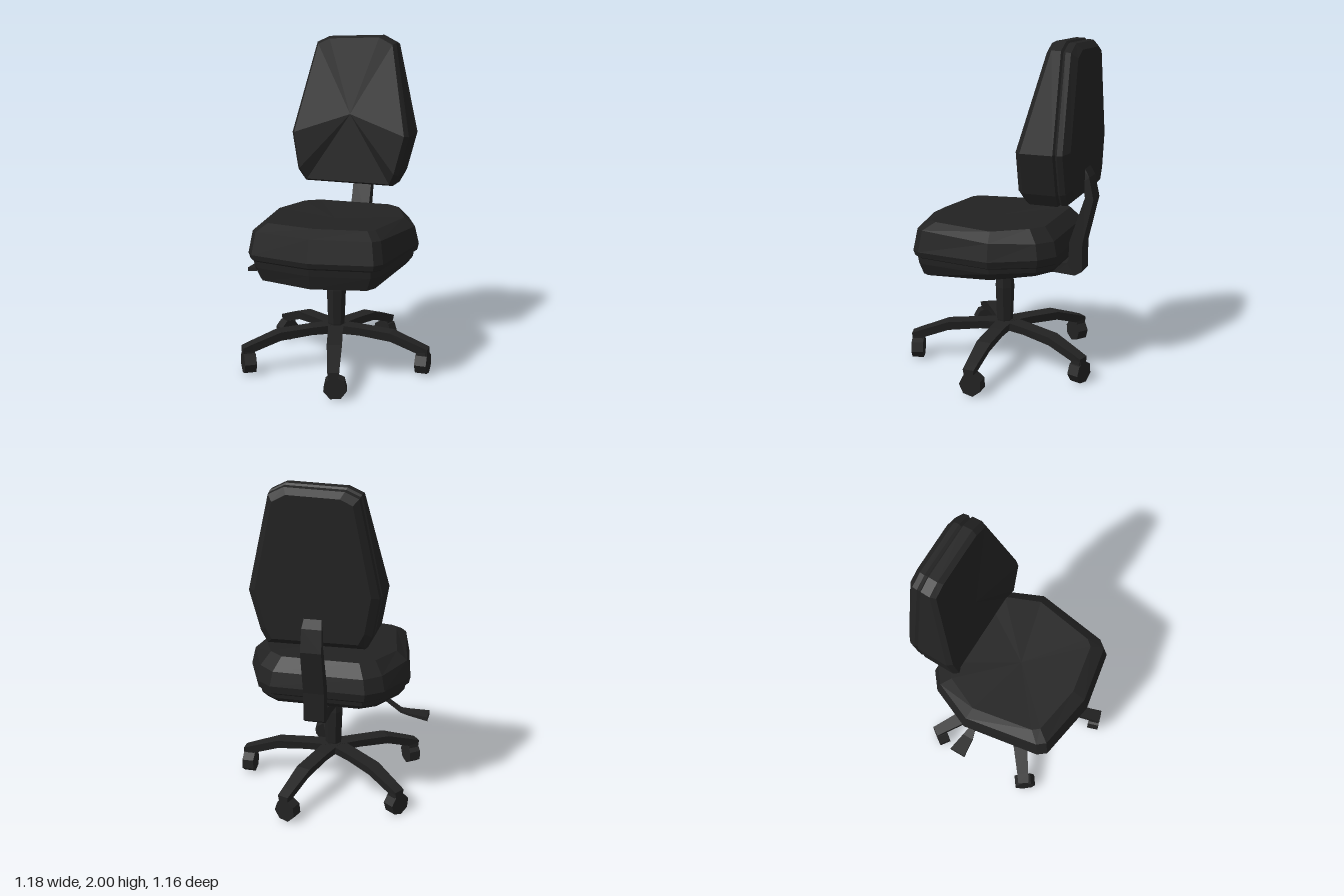
import * as THREE from 'three';

const plastic = new THREE.MeshStandardMaterial({ color: 0x222222, flatShading: true });
plastic.name = 'charcoal';

const v = (x, y, z) => new THREE.Vector3(x, y, z);

// Skin a closed solid over equal-sized rings; caps are fans around each end's centre.
function loft(name, rings, capDip = 0) {
  const tris = [];
  const n = rings[0].length;
  for (let r = 0; r < rings.length - 1; r++) {
    for (let i = 0; i < n; i++) {
      const j = (i + 1) % n;
      const [a, b, c, d] = [rings[r][i], rings[r][j], rings[r + 1][j], rings[r + 1][i]];
      tris.push([a, b, c], [a, c, d]);
    }
  }
  const cap = (ring, flip, dip) => {
    const m = ring.reduce((s, p) => s.add(p), v(0, 0, 0)).divideScalar(n);
    m.y -= dip;
    ring.forEach((p, i) => {
      const q = ring[(i + 1) % n];
      tris.push(flip ? [m, q, p] : [m, p, q]);
    });
  };
  cap(rings[0], true, 0);
  cap(rings[rings.length - 1], false, capDip);
  // Turn the faces outward if the rings ran the other way round
  const volume = tris.reduce((s, [a, b, c]) => s + a.dot(b.clone().cross(c)), 0);
  if (volume < 0) tris.forEach((t) => t.reverse());
  const geo = new THREE.BufferGeometry().setFromPoints(tris.flat());
  geo.computeVertexNormals();
  const mesh = new THREE.Mesh(geo, plastic);
  mesh.name = name;
  return mesh;
}

// Mirror a half outline that starts on the centre line and ends on the far side
const mirror = (half) => [...half, ...half.slice(1).reverse().map(([x, y]) => [-x, y])];

function seat() {
  const outline = mirror([[0, 0.505], [0.37, 0.44], [0.41, 0.39], [0.49, -0.08], [0.38, -0.34], [0.28, -0.42]]);
  const slope = (z, front, back) => front + (back - front) * (0.5 - z) / 0.92;
  // x scale, z scale, height at front, height at back
  const layers = [
    [0.86, 0.91, 0.605, 0.695], [0.93, 0.95, 0.685, 0.72], [0.94, 0.96, 0.725, 0.745],
    [0.98, 0.985, 0.735, 0.755], [1, 1, 0.765, 0.80], [0.95, 0.95, 0.90, 0.885],
  ];
  const rings = layers.map(([sx, sz, f, b]) => outline.map(([x, z]) => v(x * sx + 0.007, slope(z, f, b), z * sz)));
  rings.push(outline.map(([x, z]) => v(x * 0.82 + 0.007, z < -0.2 ? 0.957 : 0.943, z * 0.79)));
  return loft('seatCushion', rings, 0.02);
}

function backrest() {
  const outline = [
    [-0.29, 1.095], [-0.33, 1.17], [-0.37, 1.40], [-0.25, 1.955], [-0.17, 1.99],
    [0.17, 2.0], [0.26, 1.955], [0.385, 1.40], [0.32, 1.16], [0.28, 1.09],
  ];
  const face = (y) => (y < 1.15 ? -0.225 : y < 1.3 ? -0.195 : y < 1.6 ? -0.2 : -0.335);
  // x scale, y scale about mid-height, depth
  const layers = [
    [0.94, 0.97, face], [1, 1, (y) => face(y) - 0.03], [0.99, 1, () => -0.42],
    [0.955, 0.97, () => -0.43], [0.985, 0.985, () => -0.445], [0.97, 0.975, () => -0.475], [0.86, 0.90, () => -0.508],
  ];
  return loft('backrest', layers.map(([sx, sy, z]) =>
    outline.map(([x, y]) => v(x * sx, 1.545 + (y - 1.545) * sy, z(y)))));
}

// Bent bar: sections pair an outer and an inner (z, y) point with a half width
function spine() {
  const path = [
    [-0.10, 0.645, -0.10, 0.69, 0.10], [-0.34, 0.63, -0.34, 0.69, 0.065], [-0.46, 0.622, -0.41, 0.695, 0.06],
    [-0.502, 0.65, -0.42, 0.72, 0.06], [-0.502, 0.82, -0.42, 0.82, 0.06],
    [-0.563, 1.09, -0.512, 1.10, 0.06], [-0.535, 1.22, -0.495, 1.19, 0.058], [-0.508, 1.27, -0.49, 1.27, 0.05],
  ];
  return loft('backSupport', path.map(([z1, y1, z2, y2, w]) =>
    [v(-w, y1, z1), v(w, y1, z1), v(w, y2, z2), v(-w, y2, z2)].map((p) => p.add(v(0.005, 0, 0)))));
}

// Tapered plate beneath the seat
function mount() {
  const plan = [[-0.08, 0.15], [0.09, 0.15], [0.13, 0], [0.10, -0.14], [-0.10, -0.14], [-0.13, 0]];
  return loft('seatMount', [[0.85, 0.62], [1, 0.69]].map(([s, y]) => plan.map(([x, z]) => v(x * s, y, z * s))));
}

function lever() {
  // x, height, thickness, near z, far z
  const path = [
    [-0.06, 0.645, 0.02, -0.05, -0.08], [-0.33, 0.63, 0.02, -0.05, -0.08], [-0.43, 0.56, 0.016, -0.045, -0.09],
    [-0.48, 0.55, 0.016, -0.03, -0.10], [-0.597, 0.54, 0.026, -0.02, -0.12],
  ];
  return loft('heightLever', path.map(([x, y, t, a, b]) =>
    [v(x, y - t / 2, a), v(x, y + t / 2, a), v(x, y + t / 2, b), v(x, y - t / 2, b)]));
}

function gasColumn() {
  const pts = [[0, 0.205], [0.04, 0.21], [0.052, 0.27], [0.06, 0.48], [0.045, 0.63], [0, 0.65]];
  const mesh = new THREE.Mesh(new THREE.LatheGeometry(pts.map(([r, y]) => new THREE.Vector2(r, y)), 7), plastic);
  mesh.name = 'gasColumn';
  mesh.position.set(0.005, 0, 0.01);
  return mesh;
}

// One spoke of the base with its caster, pointing along +x
function leg(i) {
  const group = new THREE.Group();
  group.name = 'baseLeg' + (i + 1);
  // distance, bottom, top, half width
  const path = [[0, 0.205, 0.262, 0.05], [0.16, 0.207, 0.257, 0.045], [0.36, 0.19, 0.245, 0.045], [0.53, 0.13, 0.185, 0.036], [0.588, 0.125, 0.163, 0.034]];
  group.add(loft('spoke', path.map(([r, b, t, w]) =>
    [v(r, b, -w * 0.8), v(r, t, -w), v(r, t, w), v(r, b, w * 0.8)])));
  const wheel = new THREE.Mesh(new THREE.CylinderGeometry(0.069, 0.069, 0.072, 7).rotateZ(Math.PI / 2), plastic);
  wheel.name = 'casterWheel';
  wheel.position.set(0.552, 0.068, -0.01);
  wheel.rotation.x = 0.25 * i;
  const fork = new THREE.Mesh(new THREE.BoxGeometry(0.06, 0.07, 0.06), plastic);
  fork.name = 'casterFork';
  fork.position.set(0.55, 0.12, 0);
  group.add(wheel, fork);
  group.rotation.y = -i * Math.PI * 2 / 5;
  return group;
}

export function createModel() {
  const chair = new THREE.Group();
  chair.name = 'officeChair';
  chair.add(seat(), backrest(), spine(), mount(), lever(), gasColumn());
  for (let i = 0; i < 5; i++) chair.add(leg(i));
  return chair;
}
